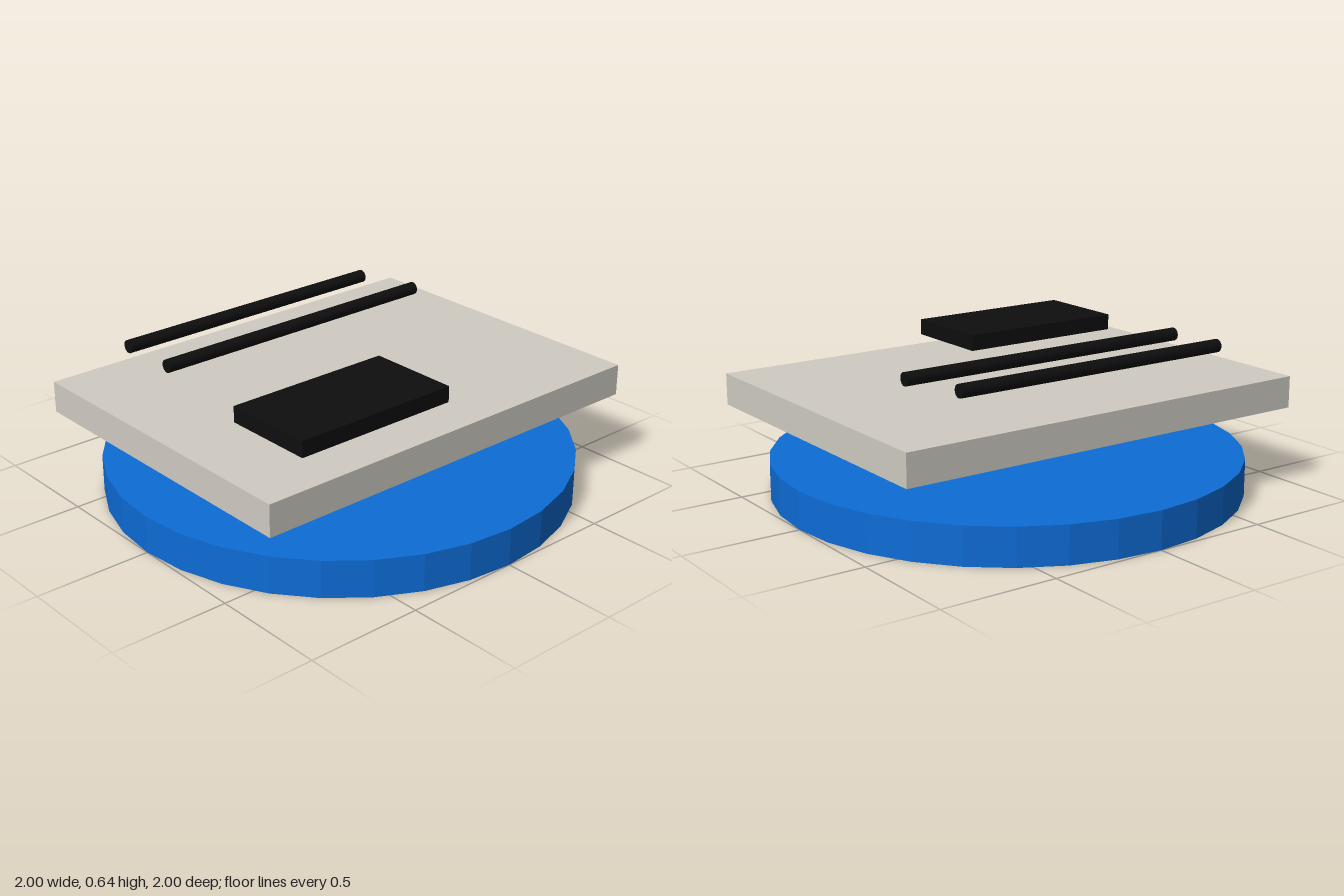
import * as THREE from 'three';

function material(name, color) {
  const m = new THREE.MeshStandardMaterial({ color, flatShading: true });
  m.name = name;
  return m;
}

export function createModel() {
  const blue = material('blue', 0x0d6cd6);
  const stone = material('warm grey', 0xd0ccc3);
  const black = material('black', 0x0e0e0e);
  const model = new THREE.Group();
  model.name = 'layeredPlaque';

  function add(name, geometry, mat, x, y, z) {
    const mesh = new THREE.Mesh(geometry, mat);
    mesh.name = name;
    mesh.position.set(x, y, z);
    model.add(mesh);
  }

  // Round base disc
  add('baseDisc', new THREE.CylinderGeometry(1, 1, 0.16, 32), blue, 0, 0.08, 0);

  // Floating rectangular plate
  add('plate', new THREE.BoxGeometry(1.89, 0.135, 1.416), stone, 0, 0.4125, 0);

  // Dark block above the front of the plate
  add('block', new THREE.BoxGeometry(0.745, 0.068, 0.405), black, -0.3375, 0.582, 0.407);

  // Two thin rods above the back of the plate
  const rods = [
    ['frontRod', -0.272, -0.68, 0.676],
    ['backRod', -0.542, -0.68, 0.608],
  ];
  for (const [name, z, x0, x1] of rods) {
    const rod = new THREE.CylinderGeometry(0.028, 0.028, x1 - x0, 16).rotateZ(Math.PI / 2);
    add(name, rod, black, (x0 + x1) / 2, 0.616, z);
  }

  return model;
}
